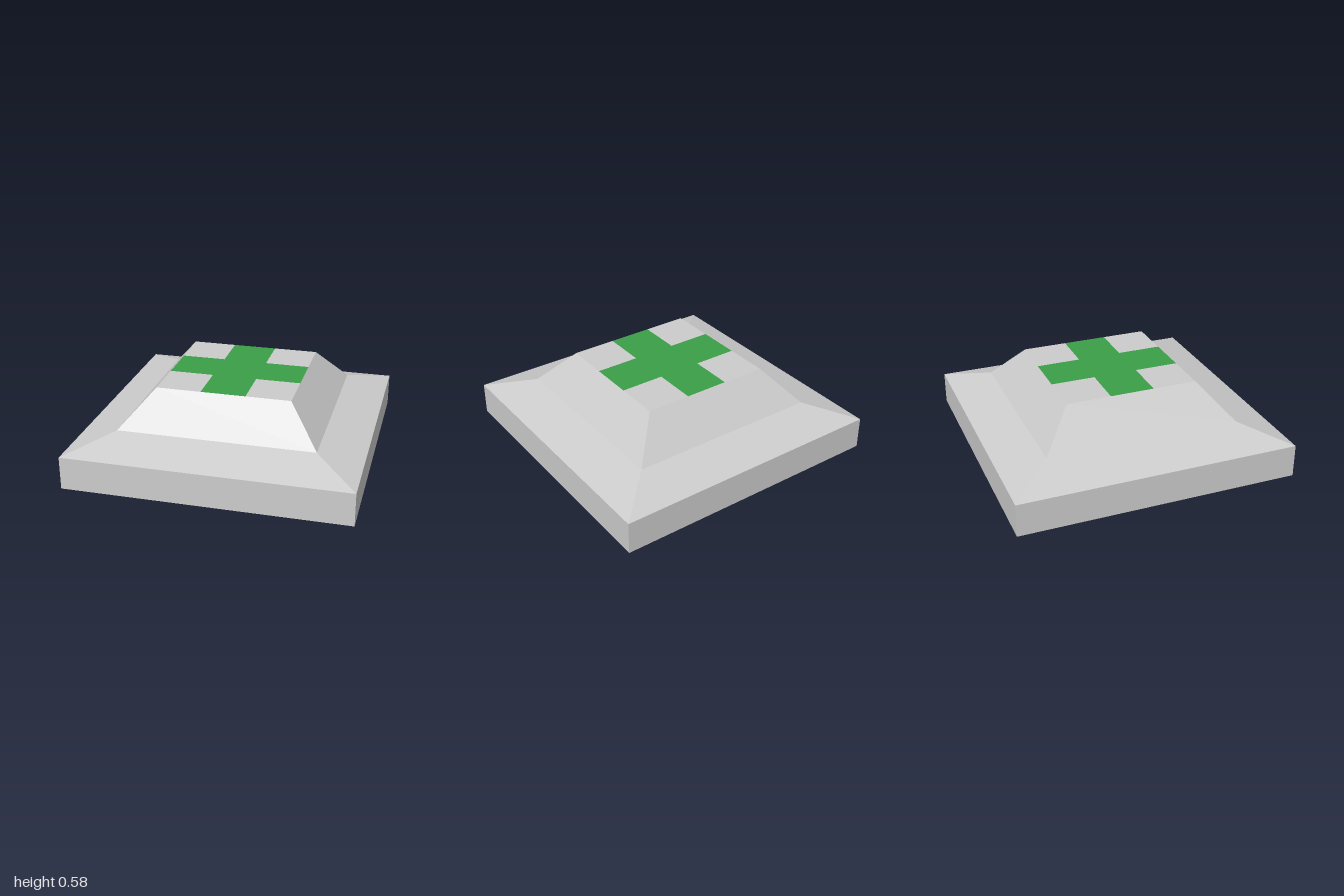
import * as THREE from 'three';

const BASE = 1, SHOULDER = 0.695, TOP = 0.475;
const Y_RIM = 0.235, Y_SHOULDER = 0.333, Y_TOP = 0.585;

const grey = new THREE.MeshStandardMaterial({ name: 'lightGrey', color: 0xcccccc });
const green = new THREE.MeshStandardMaterial({ name: 'crossGreen', color: 0x3a9f48 });

// Square band between two levels, given half widths and heights
function squareBand(name, half0, y0, half1, y1) {
  const points = [[half0, y0], [half1, y1]].map(([h, y]) => new THREE.Vector2(h * Math.SQRT2, y));
  const geometry = new THREE.LatheGeometry(points, 4, Math.PI / 4).toNonIndexed();
  geometry.computeVertexNormals();
  const mesh = new THREE.Mesh(geometry, grey);
  mesh.name = name;
  return mesh;
}

export function createModel() {
  const model = new THREE.Group();
  model.name = 'medicalPad';

  // Plinth and the two sloping tiers
  model.add(
    squareBand('plinth', BASE, 0, BASE, Y_RIM),
    squareBand('lowerSlope', BASE, Y_RIM, SHOULDER, Y_SHOULDER),
    squareBand('upperSlope', SHOULDER, Y_SHOULDER, TOP, Y_TOP),
  );

  // Underside
  const underside = new THREE.Mesh(new THREE.PlaneGeometry(2 * BASE, 2 * BASE).rotateX(Math.PI / 2), grey);
  underside.name = 'underside';
  model.add(underside);

  // Flat top of nine tiles: corners grey, the rest form the cross
  const topGeometry = new THREE.PlaneGeometry(2 * TOP, 2 * TOP, 3, 3).rotateX(-Math.PI / 2);
  for (let i = 0; i < 9; i++) {
    const corner = i % 3 !== 1 && Math.floor(i / 3) !== 1;
    topGeometry.addGroup(i * 6, 6, corner ? 0 : 1);
  }
  const top = new THREE.Mesh(topGeometry, [grey, green]);
  top.name = 'topWithCross';
  top.position.y = Y_TOP;
  model.add(top);

  return model;
}
